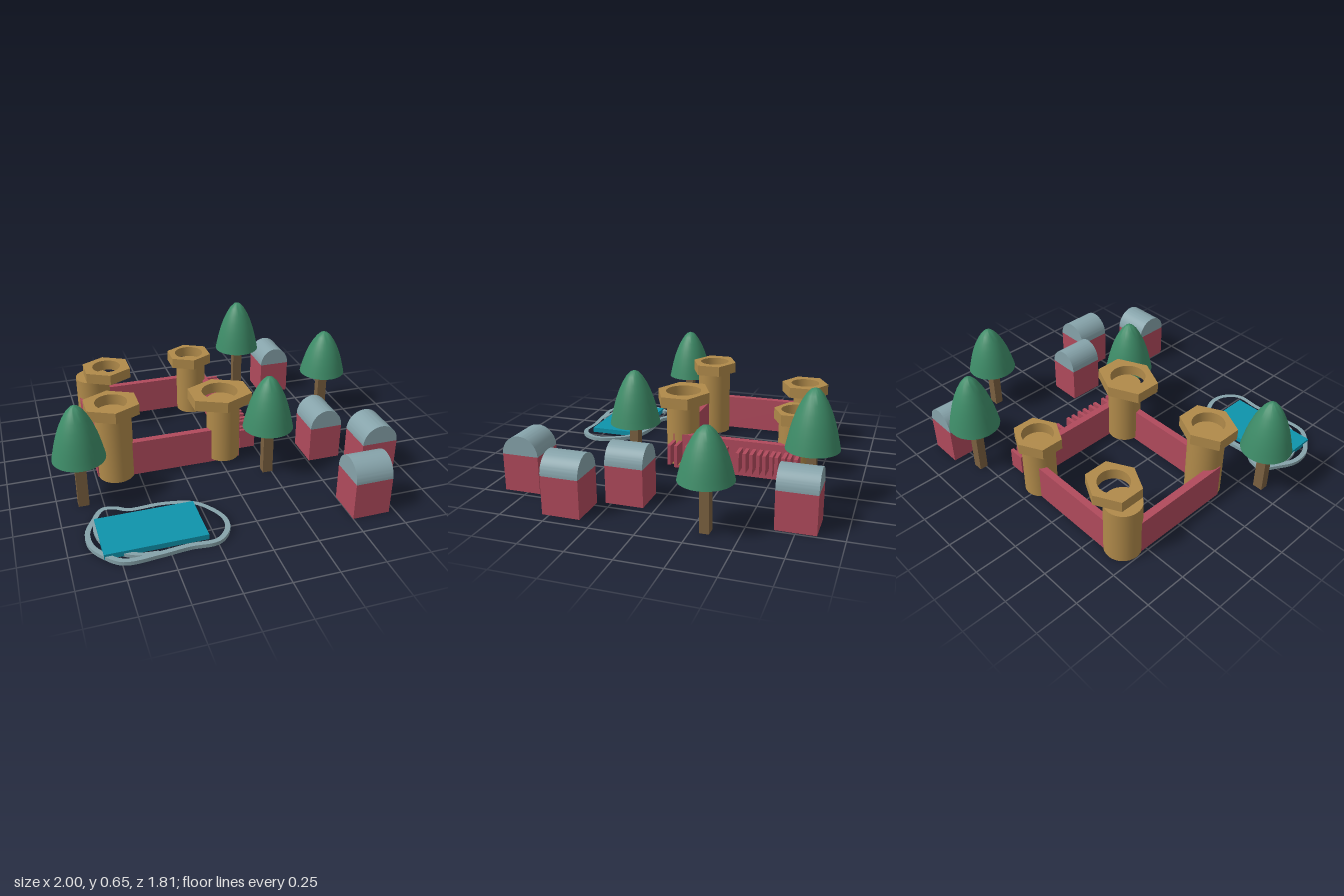
import * as THREE from 'three';
import { toCreasedNormals } from 'three/addons/utils/BufferGeometryUtils.js';

const mat = (color) => new THREE.MeshStandardMaterial({ color });

export function createModel() {
  const model = new THREE.Group();
  const red = mat(0xb04a5c), brown = mat(0xb08a4a), bark = mat(0x7a6040);
  const green = mat(0x3d8b67), slate = mat(0x86a3aa), teal = mat(0x0e93ab);

  const add = (parent, name, geo, material, x = 0, y = 0, z = 0) => {
    const mesh = new THREE.Mesh(geo, material);
    mesh.name = name;
    mesh.position.set(x, y, z);
    parent.add(mesh);
    return mesh;
  };
  const group = (name, x = 0, z = 0) => {
    const g = new THREE.Group();
    g.name = name;
    g.position.set(x, 0, z);
    model.add(g);
    return g;
  };
  // Box given by its limits on each axis
  const slab = (parent, name, material, x0, x1, y0, y1, z0, z1) =>
    add(parent, name, new THREE.BoxGeometry(x1 - x0, y1 - y0, z1 - z0), material,
      (x0 + x1) / 2, (y0 + y1) / 2, (z0 + z1) / 2);
  // Plan outline (x, z) extruded down from its top face
  const plan = (shape, depth) => toCreasedNormals(
    new THREE.ExtrudeGeometry(shape, { depth, bevelEnabled: false, curveSegments: 24 })
      .rotateX(Math.PI / 2), 0.6);

  // Castle walls
  const walls = group('castleWalls');
  slab(walls, 'leftWall', red, -0.735, -0.69, 0, 0.215, -0.62, 0.08);
  slab(walls, 'rightWall', red, 0.083, 0.125, 0, 0.215, -0.64, 0.1);
  slab(walls, 'backWall', red, -0.64, 0.04, 0, 0.215, -0.665, -0.625);
  slab(walls, 'frontWall', red, -0.64, 0.04, 0, 0.215, 0.075, 0.115);

  // Plain raised slats on the outside of the right wall
  const relief = group('wallRelief');
  [-0.63, -0.56, -0.49, -0.415, -0.335, -0.21, -0.12, -0.03, 0.075].forEach((z) => {
    for (const s of [-1, 1]) {
      slab(relief, 'slat', red, 0.125, 0.22, 0.055, 0.175, z + s * 0.02 - 0.01, z + s * 0.02 + 0.01);
    }
  });

  // Towers: a round shaft under a hexagonal collar with an open middle
  const towers = [
    { name: 'frontLeftTower', shaft: [-0.625, 0.07, 0.105], cap: [-0.63, 0.07, 0.147, 0.145], hole: 0.092, y0: 0, y: 0.41 },
    { name: 'backLeftTower', shaft: [-0.64, -0.58, 0.105], cap: [-0.55, -0.56, 0.139, 0.147], hole: 0.088, y0: 0, y: 0.335 },
    { name: 'backRightTower', shaft: [0.02, -0.605, 0.095], cap: [0.01, -0.61, 0.128, 0.133], hole: 0.09, y0: 0, y: 0.335 },
    { name: 'frontRightTower', shaft: [0.03, 0.07, 0.098], cap: [0.007, 0.075, 0.172, 0.16], hole: 0.105, y0: 0.02, y: 0.385 },
  ];
  for (const { name, shaft, cap, hole, y0, y } of towers) {
    const g = group(name);
    add(g, 'shaft', new THREE.CylinderGeometry(shaft[2], shaft[2], y - y0, 32), brown,
      shaft[0], (y + y0) / 2, shaft[1]);
    const [cx, cz, w, d] = cap;
    const hex = new THREE.Shape([[0, d], [-w, d / 2], [-w, -d / 2], [0, -d], [w, -d / 2], [w, d / 2]]
      .map(([a, b]) => new THREE.Vector2(a, b)));
    hex.holes.push(new THREE.Path().absarc(0, 0, hole, 0, Math.PI * 2, true));
    add(g, 'collar', plan(hex, 0.065), brown, cx, y + 0.065, cz);
  }

  // Trees: square trunk and a rounded conical crown with a flat underside
  const crown = toCreasedNormals(new THREE.LatheGeometry(
    [[0, 0], [1, 0], [0.94, 0.13], [0.87, 0.27], [0.77, 0.44], [0.64, 0.61], [0.49, 0.76], [0.32, 0.89], [0.16, 0.97], [0, 1]]
      .map(([r, h]) => new THREE.Vector2(r * 0.145, h)), 32), 0.8);
  for (const [x, z, y, top] of [
    [-0.857, 0.315, 0.3, 0.615], [0.227, 0.297, 0.3, 0.615],
    [0.4, -0.765, 0.325, 0.655], [0.852, -0.325, 0.278, 0.56],
  ]) {
    const g = group('tree', x, z);
    slab(g, 'trunk', bark, -0.03, 0.03, 0, y + 0.01, -0.025, 0.025);
    add(g, 'crown', crown, green, 0, y, 0).scale.y = top - y;
  }

  // Houses: a block under a half-round roof
  for (const [x, z, w, d, turn] of [
    [0.64, -0.75, 0.195, 0.215, 0], [0.607, 0.175, 0.195, 0.215, 0],
    [0.825, 0.433, 0.213, 0.213, 0], [0.607, 0.78, 0.213, 0.213, 1],
  ]) {
    const g = group('house', x, z);
    slab(g, 'walls', red, -w / 2, w / 2, 0, 0.215, -d / 2, d / 2);
    const arch = new THREE.Shape().absarc(0, 0, w / 2, 0, Math.PI, false);
    const roof = toCreasedNormals(new THREE.ExtrudeGeometry(arch,
      { depth: d, bevelEnabled: false, curveSegments: 24 }).translate(0, 0, -d / 2), 0.6);
    add(g, 'roof', roof, slate, 0, 0.215, 0).scale.y = 0.11 / (w / 2);
    g.rotation.y = turn * Math.PI / 2;
  }

  // Pond with a flat, hand-drawn rim around it
  const pond = group('pond');
  slab(pond, 'water', teal, -0.83, -0.287, 0.005, 0.035, 0.52, 0.825);
  const curveOf = (pts, closed) => new THREE.CatmullRomCurve3(
    pts.map(([x, z]) => new THREE.Vector3(x, z, 0)), closed);
  const edge = (curve, offset, n) => Array.from({ length: n + 1 }, (_, i) => {
    const p = curve.getPoint(i / n), t = curve.getTangent(i / n);
    return new THREE.Vector2(p.x - t.y * offset, p.y + t.x * offset);
  });
  const loop = curveOf([
    [-0.77, 0.43], [-0.835, 0.52], [-0.88, 0.615], [-0.875, 0.72], [-0.82, 0.81], [-0.74, 0.878],
    [-0.56, 0.876], [-0.4, 0.86], [-0.25, 0.862], [-0.175, 0.785], [-0.165, 0.695], [-0.215, 0.59],
    [-0.29, 0.515], [-0.45, 0.475], [-0.64, 0.475], [-0.7, 0.44],
  ], true);
  const a = edge(loop, 0.014, 90).slice(0, -1), b = edge(loop, -0.014, 90).slice(0, -1);
  const outer = THREE.ShapeUtils.area(a), inner = THREE.ShapeUtils.area(b);
  const [big, small] = Math.abs(outer) > Math.abs(inner) ? [a, b] : [b, a];
  const rim = new THREE.Shape(big);
  rim.holes.push(new THREE.Path(small));
  add(pond, 'rim', plan(rim, 0.022), slate, 0, 0.022, 0);

  // Short inner strand where the rim overlaps itself
  const strand = curveOf([[-0.82, 0.5], [-0.835, 0.6], [-0.81, 0.71], [-0.73, 0.81], [-0.65, 0.853], [-0.56, 0.866]], false);
  const band = new THREE.Shape([...edge(strand, 0.012, 24), ...edge(strand, -0.012, 24).reverse()]);
  add(pond, 'rimOverlap', plan(band, 0.02), slate, 0, 0.02, 0);

  return model;
}
